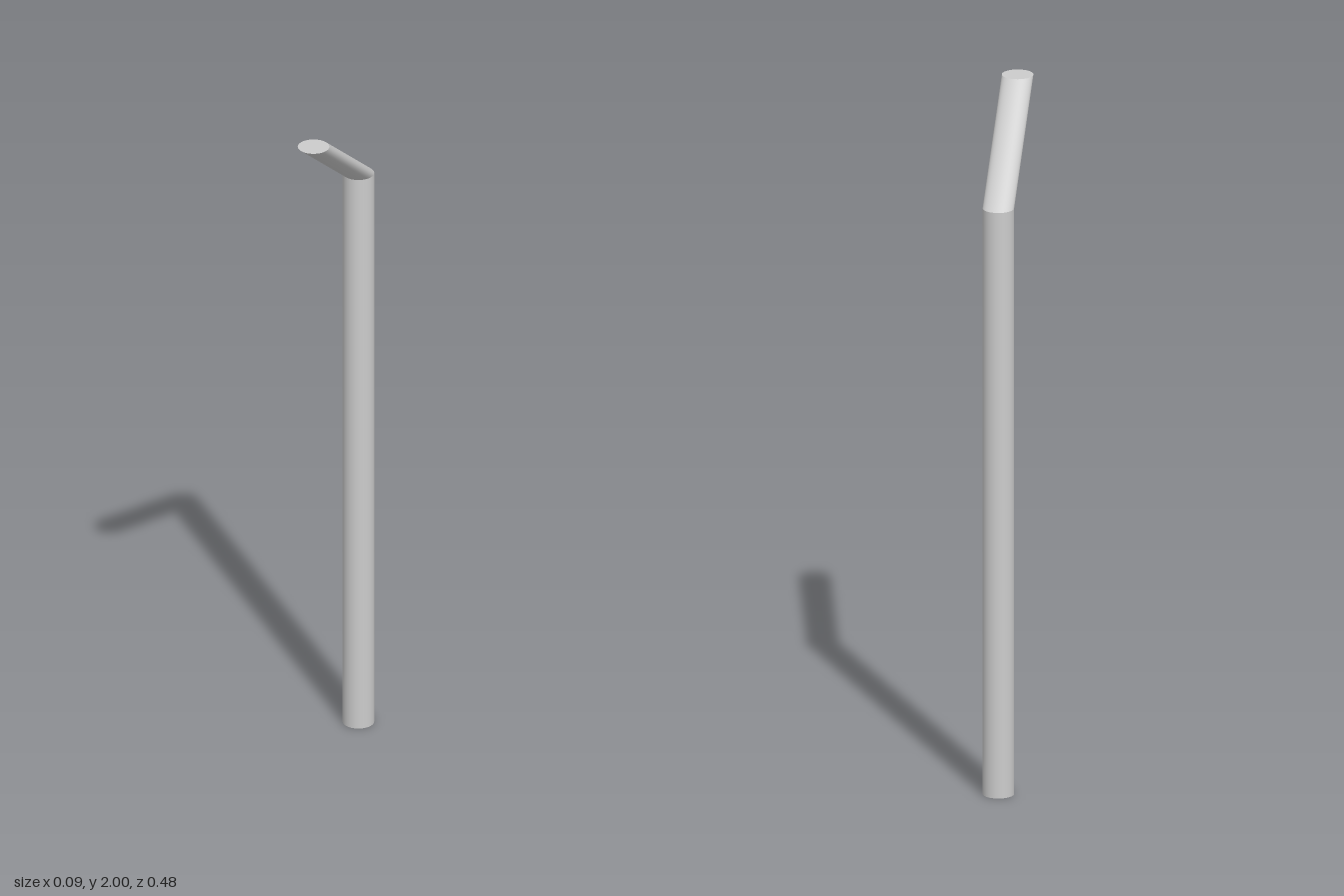
import * as THREE from 'three';

const RADIUS = 0.0445;
const SIDES = 48;
const JOINT_Y = 1.73;
const TOP_Y = 2;
const OFFSET_Z = 0.194;

export function createModel() {
  const model = new THREE.Group();
  const material = new THREE.MeshStandardMaterial({ color: 0xcccccc });

  const add = (name, geometry, y, z) => {
    const mesh = new THREE.Mesh(geometry, material);
    mesh.name = name;
    mesh.position.set(0, y, z);
    model.add(mesh);
  };

  // Open tube of horizontal rings, leaning forward by `lean` over its height
  const tube = (height, lean) => {
    const shear = new THREE.Matrix4().makeShear(0, 0, 0, lean / height, 0, 0);
    const geometry = new THREE.CylinderGeometry(RADIUS, RADIUS, height, SIDES, 1, true);
    return geometry.applyMatrix4(shear);
  };

  // Horizontal disc closing an end, facing up (1) or down (-1)
  const cap = (facing) =>
    new THREE.CircleGeometry(RADIUS, SIDES).rotateX((-facing * Math.PI) / 2);

  // Upright shaft at the back
  add('shaft', tube(JOINT_Y, 0), JOINT_Y / 2, -OFFSET_Z);
  add('shaftBase', cap(-1), 0, -OFFSET_Z);

  // Slanted arm rising to the front, cut level at its tip
  add('arm', tube(TOP_Y - JOINT_Y, 2 * OFFSET_Z), (JOINT_Y + TOP_Y) / 2, 0);
  add('armTip', cap(1), TOP_Y, OFFSET_Z);

  return model;
}
